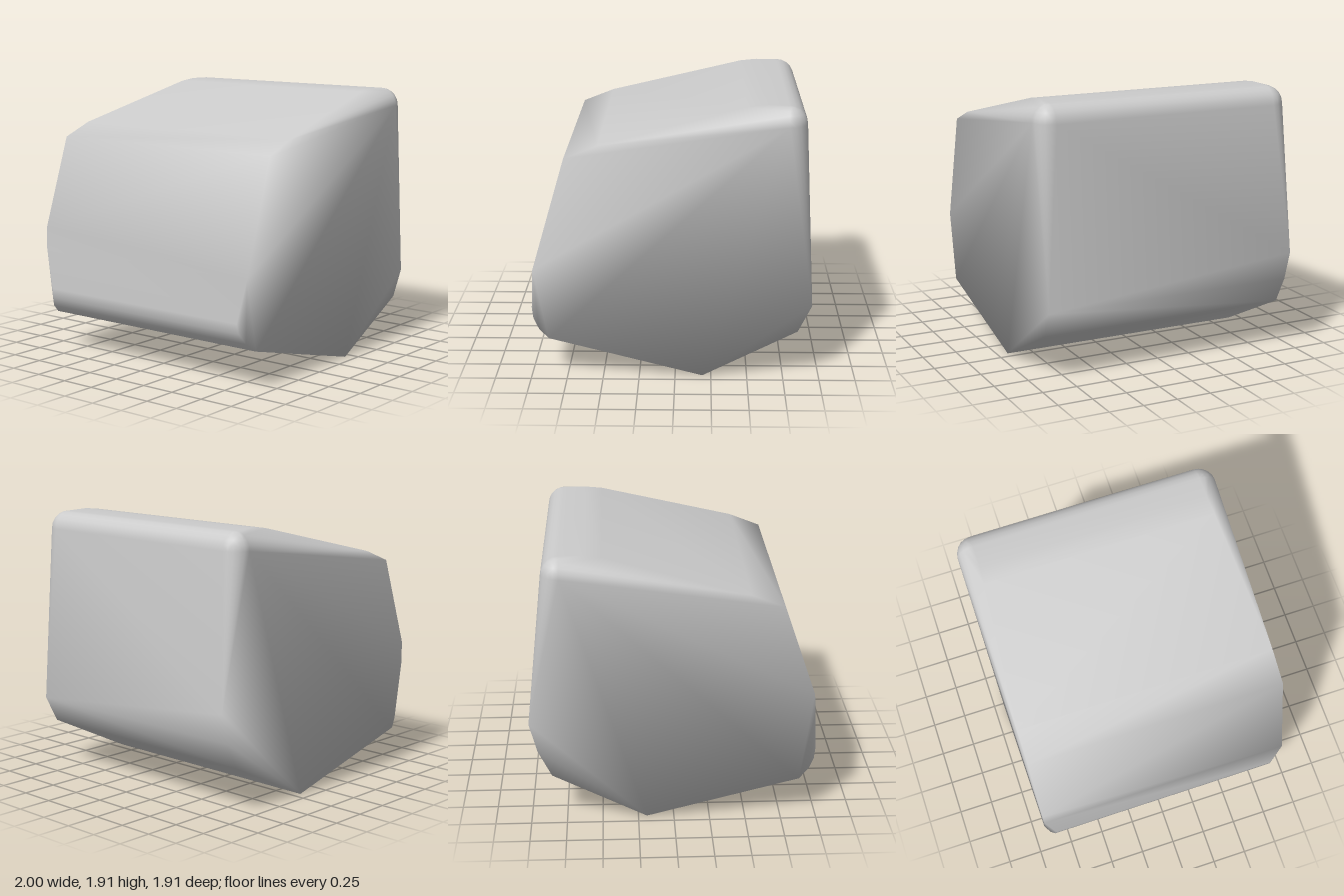
import * as THREE from 'three';
import { mergeVertices } from 'three/addons/utils/BufferGeometryUtils.js';
import { ConvexGeometry } from 'three/addons/geometries/ConvexGeometry.js';

export function createModel() {
  const points = [];
  const add = (x, y, z) => points.push(new THREE.Vector3(x, y, z));

  // Corners shared by the front and back outlines: x, y, depth from the middle
  const outline = [
    [0.19, 0, 0.925], [0.85, 0.33, 0.92], [0.945, 0.52, 0.925],
    [0.6, 1.914, 0.83], [0.48, 1.9, 0.84],
    [-0.52, 1.65, 0.925], [-0.75, 1.56, 0.925],
    [-1, 0.47, 0.85], [-0.99, 0.4, 0.86], [-0.95, 0.33, 0.89], [-0.88, 0.27, 0.92],
  ];
  for (const side of [1, -1]) {
    for (const [x, y, z] of outline) add(x, y, side * z);

    // Rounded upper right corner
    const r = 0.125;
    for (let i = 0; i <= 5; i++) {
      const tilt = (i / 5) * Math.PI / 2;
      for (let j = 0; j <= 5; j++) {
        const turn = (j / 5) * Math.PI / 2;
        add(0.765 + r * Math.cos(tilt) * Math.cos(turn),
          1.785 + r * Math.sin(tilt),
          side * (0.83 + r * Math.cos(tilt) * Math.sin(turn)));
      }
    }
  }

  // Corners where the two ends differ
  add(-0.98, 0.77, 0.92);
  add(-0.97, 0.92, -0.925);
  add(-0.98, 0.77, -0.92);
  add(1, 0.73, -0.93);

  // One smooth-shaded skin over all corners
  const hull = new ConvexGeometry(points);
  hull.deleteAttribute('normal');
  const geometry = mergeVertices(hull, 1e-4);
  geometry.computeVertexNormals();

  const body = new THREE.Mesh(geometry,
    new THREE.MeshStandardMaterial({ color: 0xcccccc }));
  body.name = 'roundedBlock';

  const model = new THREE.Group();
  model.name = 'block';
  model.add(body);
  return model;
}
